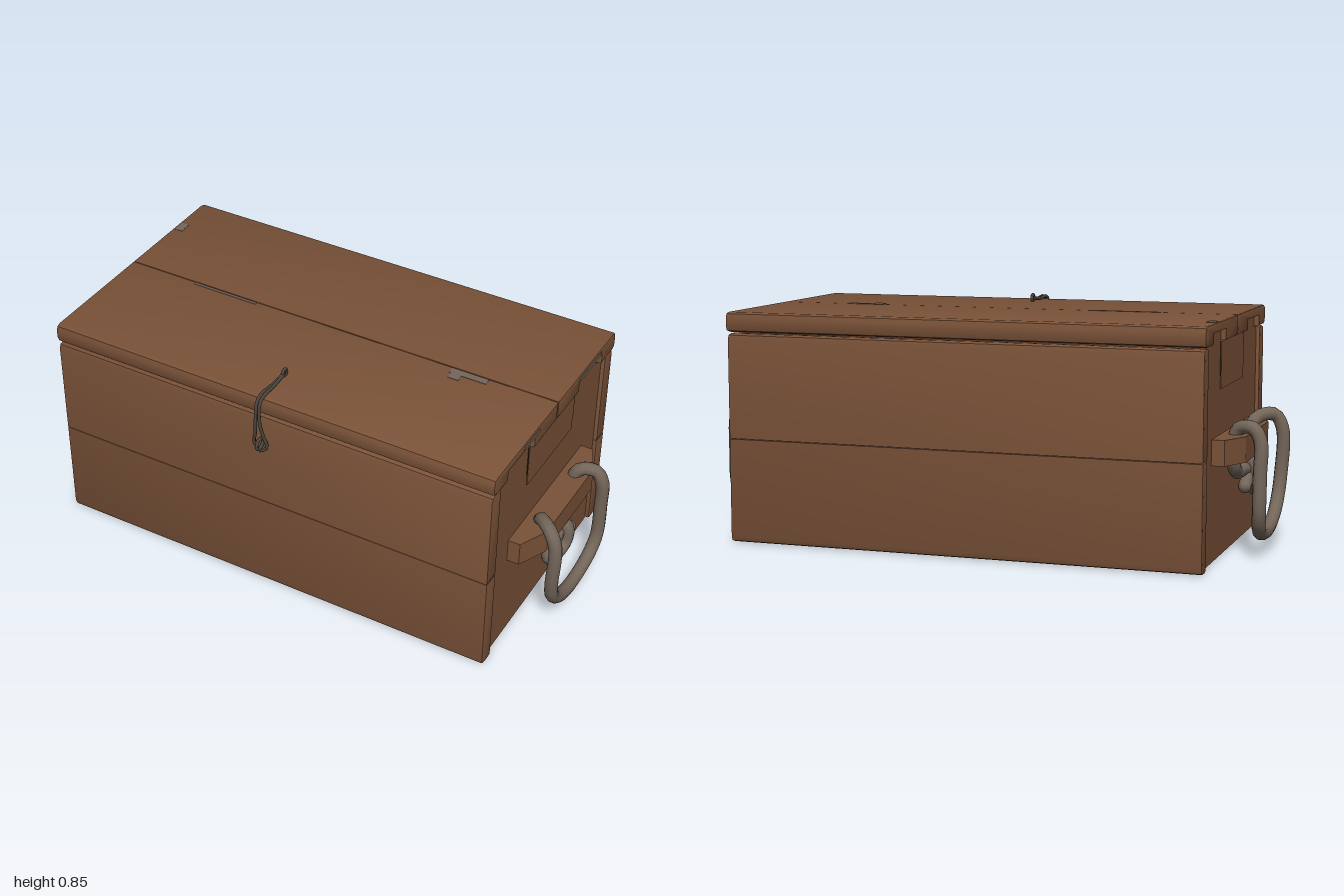
import * as THREE from 'three';
import { toCreasedNormals } from 'three/addons/utils/BufferGeometryUtils.js';

const material = (name, color) => {
  const m = new THREE.MeshStandardMaterial({ color });
  m.name = name;
  return m;
};

export function createModel() {
  const wood = material('brown wood', 0x7a5238);
  const rope = material('grey rope', 0x74665a);
  const metal = material('dark wire', 0x4c443b);
  const crack = material('dark crack', 0x2c2018);
  const model = new THREE.Group();

  const add = (parent, name, geometry, mat) => {
    const mesh = new THREE.Mesh(geometry, mat);
    mesh.name = name;
    parent.add(mesh);
    return mesh;
  };
  // Box given by its limits on each axis
  const block = (parent, name, x, y, z, mat = wood) => {
    const g = new THREE.BoxGeometry(x[1] - x[0], y[1] - y[0], z[1] - z[0]);
    add(parent, name, g, mat).position.set((x[0] + x[1]) / 2, (y[0] + y[1]) / 2, (z[0] + z[1]) / 2);
  };
  // Board running along x, from a (z, y) outline with softened ends.
  // An outline point may carry a corner radius as its third value.
  const board = (name, outline, halfLength) => {
    const shape = new THREE.Shape();
    const n = outline.length;
    const towards = (a, b, r) => {
      const d = Math.hypot(b[0] - a[0], b[1] - a[1]);
      return [a[0] + (b[0] - a[0]) * r / d, a[1] + (b[1] - a[1]) * r / d];
    };
    outline.forEach((p, i) => {
      const r = p[2] || 0;
      const a = towards(p, outline[(i + n - 1) % n], r);
      const b = towards(p, outline[(i + 1) % n], r);
      if (i === 0) shape.moveTo(-a[0], a[1]); else shape.lineTo(-a[0], a[1]);
      if (r) {
        shape.lineTo(-(a[0] + b[0] + 2 * p[0]) / 4, (a[1] + b[1] + 2 * p[1]) / 4);
        shape.lineTo(-b[0], b[1]);
      }
    });
    const bevel = 0.006;
    const g = new THREE.ExtrudeGeometry(shape, {
      depth: 2 * (halfLength - bevel), bevelThickness: bevel, bevelSize: bevel,
      bevelOffset: -bevel, bevelSegments: 2,
    });
    g.translate(0, 0, -(halfLength - bevel)).rotateY(Math.PI / 2);
    add(model, name, toCreasedNormals(g, 0.7), wood);
  };

  // Front and back walls, two boards each
  const r = 0.022;
  for (const [side, inner, outer] of [['front', 0.39, 0.455], ['back', -0.431, -0.492]]) {
    board(side + 'LowerBoard', [[inner, 0.005, 0.012], [outer, 0.005, r], [outer, 0.374], [inner, 0.374]], 0.85);
    board(side + 'UpperBoard', [[inner, 0.376], [outer, 0.376], [outer, 0.745, r], [inner, 0.745, 0.012]], 0.85);
  }

  // Lid boards, notched underneath for the tongues of the end walls
  board('lidFrontBoard', [[0.455, 0.75, r], [0.455, 0.82, r], [-0.018, 0.82], [-0.018, 0.75],
    [0.157, 0.75], [0.157, 0.787], [0.352, 0.787], [0.352, 0.75]], 0.855);
  board('lidBackBoard', [[-0.022, 0.75], [-0.022, 0.82], [-0.495, 0.82, r], [-0.495, 0.75, r],
    [-0.383, 0.75], [-0.383, 0.787], [-0.197, 0.787], [-0.197, 0.75]], 0.855);

  // Bottom
  block(model, 'bottomPanel', [-0.83, 0.83], [0.014, 0.05], [-0.43, 0.388]);

  // Rope handle paths, for the +x end
  const loop = [
    [0.88, 0.29, -0.11], [0.878, 0.325, -0.16], [0.88, 0.42, -0.158], [0.9, 0.453, -0.165],
    [0.95, 0.453, -0.182], [0.975, 0.41, -0.187], [0.976, 0.3, -0.195], [0.974, 0.16, -0.19],
    [0.967, 0.1, -0.15], [0.965, 0.076, -0.07], [0.965, 0.076, 0.02], [0.966, 0.105, 0.11],
    [0.968, 0.16, 0.17], [0.972, 0.23, 0.195], [0.976, 0.4, 0.2], [0.95, 0.452, 0.19],
    [0.9, 0.45, 0.145], [0.88, 0.42, 0.12], [0.878, 0.335, 0.14], [0.882, 0.315, 0.09],
  ];
  const knotStrand = [
    [0.88, 0.29, -0.11], [0.89, 0.293, -0.05], [0.905, 0.285, 0.02], [0.905, 0.262, 0.07],
    [0.905, 0.228, 0.075], [0.912, 0.212, 0.03], [0.925, 0.24, -0.015], [0.925, 0.3, -0.025],
    [0.9, 0.325, -0.02], [0.878, 0.3, -0.01],
  ];
  const knotTail = [
    [0.882, 0.315, 0.09], [0.88, 0.312, 0.03], [0.885, 0.29, 0.01], [0.9, 0.265, -0.03],
    [0.905, 0.24, -0.1],
  ];
  const tube = (parent, name, points, radius, mat, sides, closed = false) => {
    const v = points.map((p) => new THREE.Vector3(...p));
    const curve = new THREE.CatmullRomCurve3(v, closed, 'centripetal');
    add(parent, name, new THREE.TubeGeometry(curve, points.length * 4, radius, sides, closed), mat);
    if (!closed) {
      for (const p of [v[0], v[v.length - 1]]) {
        add(parent, name + 'End', new THREE.SphereGeometry(radius, sides, 6), mat).position.copy(p);
      }
    }
  };

  // Both end walls, mirrored across x
  for (const s of [1, -1]) {
    const end = new THREE.Group();
    end.name = s > 0 ? 'leftEnd' : 'rightEnd';
    const range = (a, b) => (s > 0 ? [a, b] : [-b, -a]);
    const flip = (points) => points.map(([x, y, z]) => [s * x, y, z]);

    for (const y of [[0.008, 0.25], [0.25, 0.495], [0.495, 0.745]]) {
      block(end, 'endBoard', range(0.79, 0.836), y, [-0.428, 0.387]);
    }
    block(end, 'endCentrePanel', range(0.83, 0.839), [0.585, 0.745], [-0.198, 0.158]);
    for (const z of [[0.16, 0.35], [-0.381, -0.2]]) {
      block(end, 'endTongue', range(0.79, 0.836), [0.74, 0.785], z);
    }
    for (const z of [0.161, -0.201]) {
      block(end, 'endCrack', range(0.832, 0.8385), [0.63, 0.745], [z - 0.002, z + 0.002], crack);
    }

    // Grip batten with tapered ends
    const outline = [[0.83, -0.315], [0.88, -0.315], [0.93, -0.21], [0.93, 0.17], [0.88, 0.275], [0.83, 0.275]];
    const shape = new THREE.Shape(outline.map(([x, z]) => new THREE.Vector2(s * x, -z)));
    const batten = new THREE.ExtrudeGeometry(shape, { depth: 0.088, bevelEnabled: false });
    batten.rotateX(-Math.PI / 2).translate(0, 0.341, 0);
    add(end, 'gripBatten', batten, wood);

    tube(end, 'ropeLoop', flip(loop), 0.024, rope, 10);
    tube(end, 'ropeKnot', flip(knotStrand), 0.024, rope, 10);
    tube(end, 'ropeTail', flip(knotTail), 0.023, rope, 10);
    model.add(end);
  }

  // Wire latch: a doubled wire over the lid edge ending in a teardrop
  const latch = new THREE.Group();
  latch.name = 'latch';
  const half = [
    [0.004, 0.826, 0.38], [0.006, 0.829, 0.45], [0.006, 0.812, 0.475],
    [0.008, 0.74, 0.483], [0.016, 0.68, 0.475], [0.025, 0.635, 0.468],
  ];
  const mirrored = half.map(([x, y, z]) => [-x, y, z]).reverse();
  tube(latch, 'latchWire', [[0, 0.832, 0.3], ...half, [0, 0.607, 0.468], ...mirrored], 0.006, metal, 8, true);
  for (const [y, z, size] of [[0.64, 0.474, 0.02], [0.832, 0.306, 0.013]]) {
    const staple = add(latch, 'latchStaple', new THREE.TorusGeometry(size, 0.006, 8, 16), metal);
    staple.rotation.y = Math.PI / 2;
    staple.position.set(0, y, z);
  }
  latch.position.x = -0.01;
  model.add(latch);

  // Worn patches on the lid
  for (const [x, z] of [[[0.46, 0.6], [-0.017, 0.012]], [[0.47, 0.51], [0.012, 0.04]],
    [[-0.58, -0.32], [-0.017, -0.006]], [[-0.845, -0.815], [-0.33, -0.28]]]) {
    block(model, 'wornPatch', x, [0.818, 0.8215], z, rope);
  }
  for (const z of [[0.125, 0.24], [-0.37, -0.19]]) {
    block(model, 'wornLidEnd', [0.85, 0.8565], [0.795, 0.81], z, rope);
  }
  return model;
}
